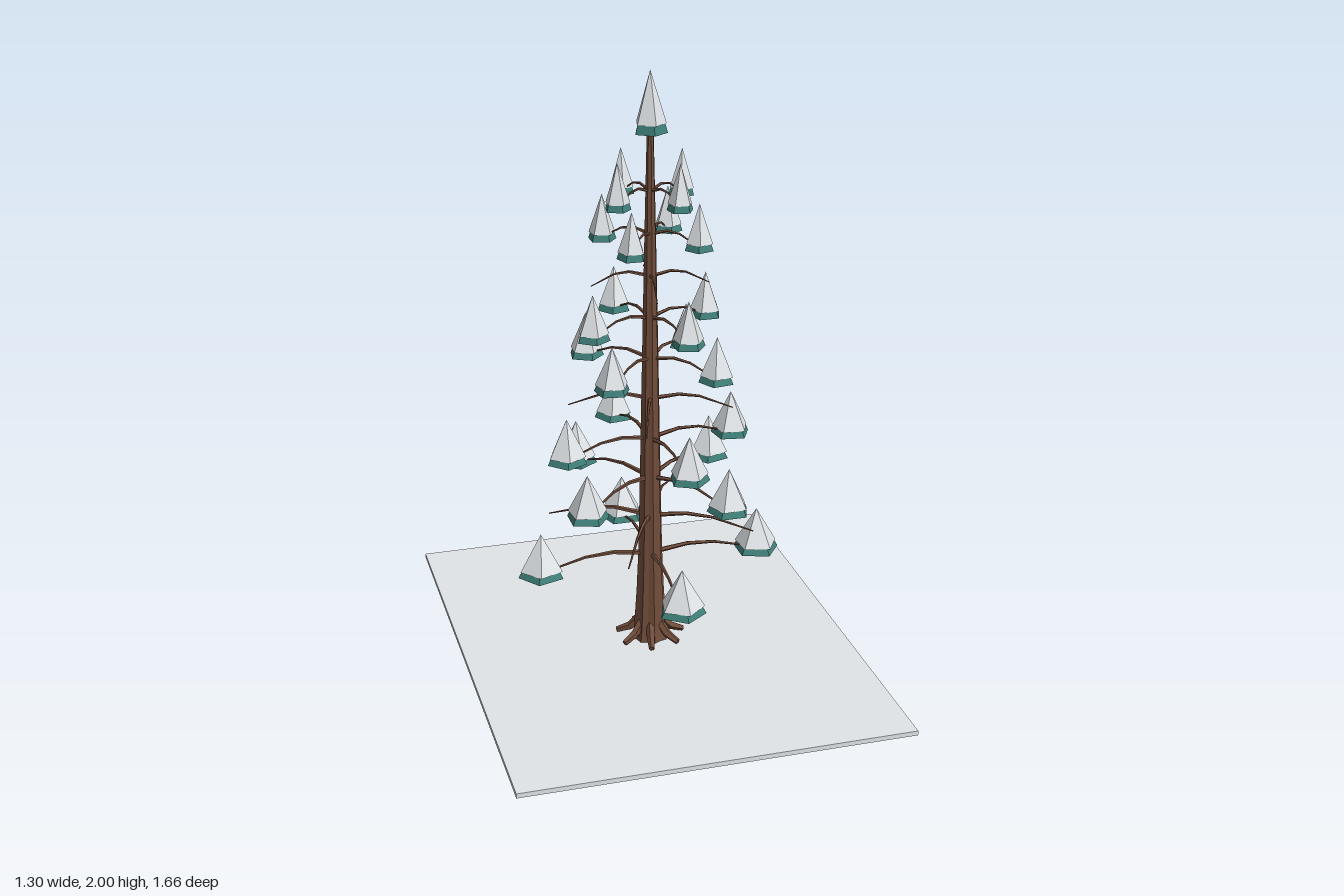
import * as THREE from 'three';

const material = (name, color) => {
  const m = new THREE.MeshStandardMaterial({ color });
  m.name = name;
  return m;
};

// Facet a geometry so every polygon reads as a flat plane
function faceted(geometry) {
  const g = geometry.index ? geometry.toNonIndexed() : geometry;
  g.computeVertexNormals();
  return g;
}

function addMesh(parent, name, geometry, mat) {
  const mesh = new THREE.Mesh(faceted(geometry), mat);
  mesh.name = name;
  parent.add(mesh);
  return mesh;
}

// Chain of tapered segments through points [outward, height, radius] along +x
function limb(parent, name, points, mat, sides = 5) {
  const group = new THREE.Group();
  group.name = name;
  for (let i = 0; i < points.length - 1; i++) {
    const [x0, y0, r0] = points[i];
    const [x1, y1, r1] = points[i + 1];
    const length = Math.hypot(x1 - x0, y1 - y0);
    const piece = addMesh(group, name + 'Segment', new THREE.CylinderGeometry(r1, r0, length, sides), mat);
    piece.position.set((x0 + x1) / 2, (y0 + y1) / 2, 0);
    piece.rotation.z = Math.atan2(y1 - y0, x1 - x0) - Math.PI / 2;
  }
  parent.add(group);
  return group;
}

export function createModel() {
  const bark = material('bark', 0x704c3a);
  const needles = material('needles', 0x3f7f78);
  const snow = material('snow', 0xe2e6e9);

  const model = new THREE.Group();
  model.name = 'snowyPine';

  // Snowy ground slab
  addMesh(model, 'ground', new THREE.BoxGeometry(1.3, 0.016, 1.66), snow).position.y = 0.008;

  // Ridged, tapering trunk with a flared foot
  const profile = [[0.064, 0.01], [0.056, 0.06], [0.047, 0.2], [0.041, 0.34], [0.035, 0.62],
    [0.027, 1.05], [0.019, 1.45], [0.01, 1.85]].map(([r, y]) => new THREE.Vector2(r, y));
  const sides = 16;
  const trunk = new THREE.LatheGeometry(profile, sides);
  const pos = trunk.attributes.position;
  for (let i = 0; i < pos.count; i++) {
    const ring = Math.floor(i / profile.length) % sides;
    const k = ring % 2 ? 0.9 : 1.03;
    pos.setX(i, pos.getX(i) * k);
    pos.setZ(i, pos.getZ(i) * k);
  }
  addMesh(model, 'trunk', trunk, bark);

  // Roots spreading from the foot
  for (let i = 0; i < 7; i++) {
    const root = limb(model, 'root',
      [[0.035, 0.085, 0.016], [0.07, 0.045, 0.015], [0.117, 0.026, 0.01]], bark);
    root.rotation.y = -i * Math.PI * 2 / 7;
  }

  // Cone of needles with a slightly twisted snow cap
  function tuft(name, radius, height, x, y, z, turn) {
    const group = new THREE.Group();
    group.name = name;
    addMesh(group, 'needleCone', new THREE.ConeGeometry(radius, height * 0.95, 5), needles)
      .position.y = height * 0.475;
    const cap = addMesh(group, 'snowCap', new THREE.ConeGeometry(radius * 0.93, height * 0.85, 5), snow);
    cap.position.y = height * 0.575;
    cap.rotation.y = 0.1;
    group.position.set(x, y, z);
    group.rotation.y = turn;
    model.add(group);
  }

  // Ten tiers of four branches, each tier turned 27 degrees; every third tier is bare
  for (let tier = 0; tier < 10; tier++) {
    const reach = 0.38 - 0.0267 * tier;
    const base = 0.3 + 0.1417 * tier;
    const thick = 0.0095 - 0.0004 * tier;
    for (let k = 0; k < 4; k++) {
      const angle = THREE.MathUtils.degToRad(27 * tier + 90 * k);
      const branch = limb(model, 'branch', [
        [0, 0.035, thick], [reach * 0.35, 0.052, thick * 0.75],
        [reach * 0.6, 0.046, thick * 0.55], [reach, 0.007, thick * 0.25],
      ], bark);
      branch.position.y = base;
      branch.rotation.y = -angle;
      if (tier % 3 !== 1) {
        tuft('branchTuft', 0.08 - 0.004 * tier, 0.152,
          reach * Math.cos(angle), base, reach * Math.sin(angle), Math.PI / 2 - angle);
      }
    }
  }

  // Crown
  tuft('crownTuft', 0.056, 0.2, 0, 1.8, 0, 0);
  return model;
}
